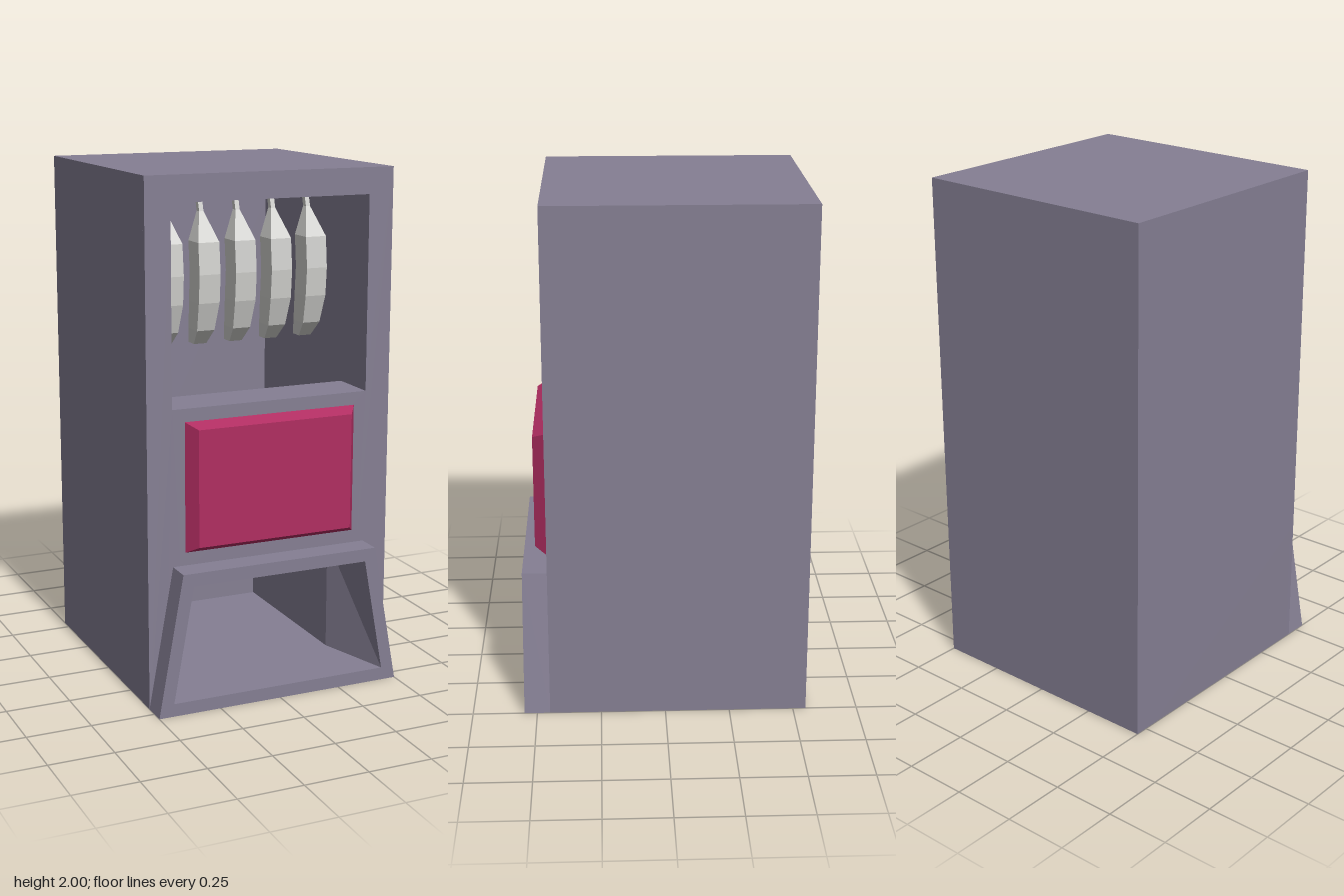
import * as THREE from 'three';

const mat = (name, color) => {
  const m = new THREE.MeshStandardMaterial({ color });
  m.name = name;
  return m;
};

// Four-cornered loops joined into flat faces, with optional end caps
function loft(loops, capStart = false, capEnd = false) {
  const pos = [];
  const quad = (a, b, c, d) => pos.push(...a, ...b, ...c, ...a, ...c, ...d);
  for (let k = 0; k < loops.length - 1; k++) {
    const a = loops[k], b = loops[k + 1];
    for (let i = 0; i < 4; i++) {
      const j = (i + 1) % 4;
      quad(a[i], a[j], b[j], b[i]);
    }
  }
  if (capStart) quad(...[...loops[0]].reverse());
  if (capEnd) quad(...loops[loops.length - 1]);
  const g = new THREE.BufferGeometry();
  g.setAttribute('position', new THREE.Float32BufferAttribute(pos, 3));
  g.computeVertexNormals();
  return g;
}

// Upright trapezoid at depth z: half widths at bottom and top, then heights
const trapezoid = (wb, wt, y0, y1, z) => [[-wb, y0, z], [wb, y0, z], [wt, y1, z], [-wt, y1, z]];

export function createModel() {
  const group = new THREE.Group();
  const grey = mat('cabinet grey', 0x857f93);
  const red = mat('panel crimson', 0xb02d61);
  const pale = mat('item pale grey', 0xd0d0cd);

  const add = (name, geometry, material) => {
    const mesh = new THREE.Mesh(geometry, material);
    mesh.name = name;
    group.add(mesh);
    return mesh;
  };
  const box = (name, x0, x1, y0, y1, z0, z1) => {
    const mesh = add(name, new THREE.BoxGeometry(x1 - x0, y1 - y0, z1 - z0), grey);
    mesh.position.set((x0 + x1) / 2, (y0 + y1) / 2, (z0 + z1) / 2);
  };

  // Hollow cabinet
  box('backWall', -0.5, 0.5, 0, 2, -0.55, -0.45);
  box('roof', -0.4, 0.4, 1.9, 2, -0.45, 0.43);
  box('base', -0.42, 0.42, 0, 0.04, -0.45, 0.45);
  box('chuteFloor', -0.35, 0.35, 0.04, 0.05, -0.45, 0.25);
  box('shelf', -0.4, 0.4, 0.5, 1.15, 0.25, 0.43);
  for (const s of [-1, 1]) {
    const side = (name, a, b, ...rest) => box(name, Math.min(s * a, s * b), Math.max(s * a, s * b), ...rest);
    side('upperSideWall', 0.4, 0.5, 0.5, 2, -0.45, 0.43);
    side('lowerSideWall', 0.42, 0.5, 0, 0.5, -0.45, 0.43);
    side('chuteCheek', 0.35, 0.42, 0.04, 0.5, -0.45, 0.25);
  }

  // Front plate with window and chute openings
  const shapePoints = (wb, wt, y0, y1) => trapezoid(wb, wt, y0, y1, 0).map(([x, y]) => new THREE.Vector2(x, y));
  const face = new THREE.Shape(shapePoints(0.5, 0.5, 0, 2));
  face.holes.push(new THREE.Path(shapePoints(0.4, 0.4, 1.15, 1.9)));
  face.holes.push(new THREE.Path(shapePoints(0.43, 0.37, 0.045, 0.505)));
  add('frontPlate', new THREE.ExtrudeGeometry(face, { depth: 0.02, bevelEnabled: false }).translate(0, 0, 0.43), grey);

  // Flared hood whose mouth narrows into the chute
  add('chuteHood', loft([
    trapezoid(0.5, 0.4, 0, 0.55, 0.45),
    trapezoid(0.5, 0.4, 0, 0.55, 0.55),
    trapezoid(0.44, 0.358, 0.05, 0.5, 0.55),
    trapezoid(0.35, 0.35, 0.05, 0.5, 0.25),
  ]), grey);

  // Bevelled panel
  add('frontPanel', loft([
    trapezoid(0.35, 0.35, 0.6, 1.1, 0.45),
    trapezoid(0.315, 0.315, 0.628, 1.077, 0.5),
  ], false, true), red);

  // Curved hanging items: height, centre depth, half width, half thickness
  const stations = [
    [1.32, 0.10, 0.026, 0.026],
    [1.38, 0.14, 0.036, 0.042],
    [1.49, 0.168, 0.043, 0.048],
    [1.6, 0.177, 0.043, 0.048],
    [1.72, 0.165, 0.043, 0.048],
    [1.83, 0.13, 0.009, 0.012],
    [1.9, 0.11, 0.009, 0.012],
  ];
  const itemGeometry = loft(stations.map(([y, z, w, d]) =>
    [[-w, y, z + d], [w, y, z + d], [w, y, z - d], [-w, y, z - d]]), true, true);
  for (let i = -2; i <= 2; i++) add('hangingItem', itemGeometry, pale).position.x = i * 0.15;

  return group;
}
